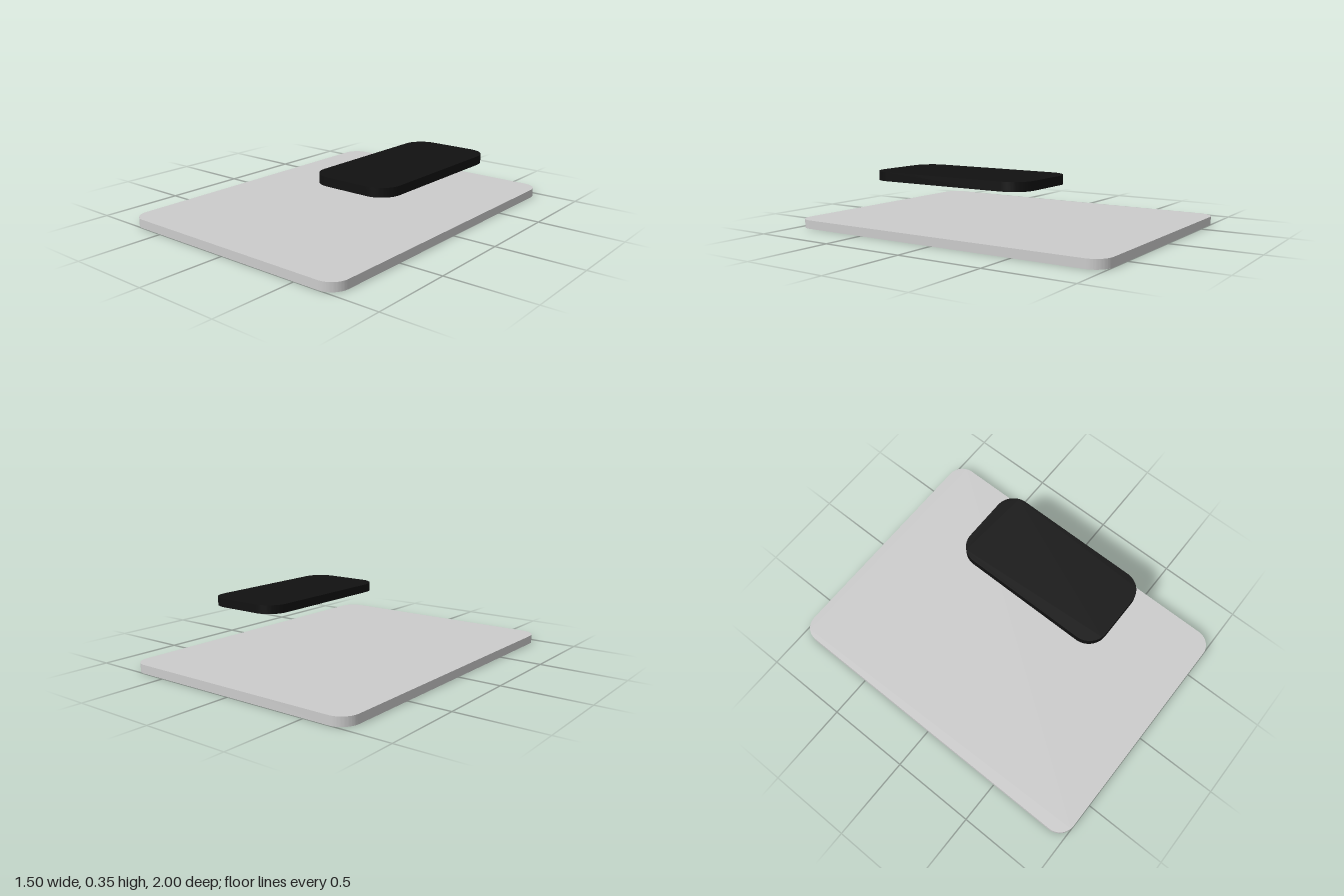
import * as THREE from 'three';
import { toCreasedNormals } from 'three/addons/utils/BufferGeometryUtils.js';

// Flat slab lying in xz with rounded vertical corners, its underside at y = 0
function roundedSlab(width, depth, height, radius) {
  const x = width / 2 - radius, y = depth / 2 - radius;
  const shape = new THREE.Shape();
  shape.absarc(x, y, radius, 0, Math.PI / 2);
  shape.absarc(-x, y, radius, Math.PI / 2, Math.PI);
  shape.absarc(-x, -y, radius, Math.PI, Math.PI * 1.5);
  shape.absarc(x, -y, radius, Math.PI * 1.5, Math.PI * 2);
  const geometry = new THREE.ExtrudeGeometry(shape, { depth: height, bevelEnabled: false, curveSegments: 12 });
  geometry.rotateX(-Math.PI / 2);
  return toCreasedNormals(geometry, Math.PI / 5);
}

export function createModel() {
  const group = new THREE.Group();

  // Large grey plate on the ground
  const basePlate = new THREE.Mesh(
    roundedSlab(1.5, 2, 0.05, 0.1),
    new THREE.MeshStandardMaterial({ color: 0xcccccc })
  );
  basePlate.name = 'basePlate';

  // Small black plate floating above the left side
  const floatingPlate = new THREE.Mesh(
    roundedSlab(0.5, 1, 0.05, 0.12),
    new THREE.MeshStandardMaterial({ color: 0x111111 })
  );
  floatingPlate.name = 'floatingPlate';
  floatingPlate.position.set(0.405, 0.305, 0);

  group.add(basePlate, floatingPlate);
  return group;
}
